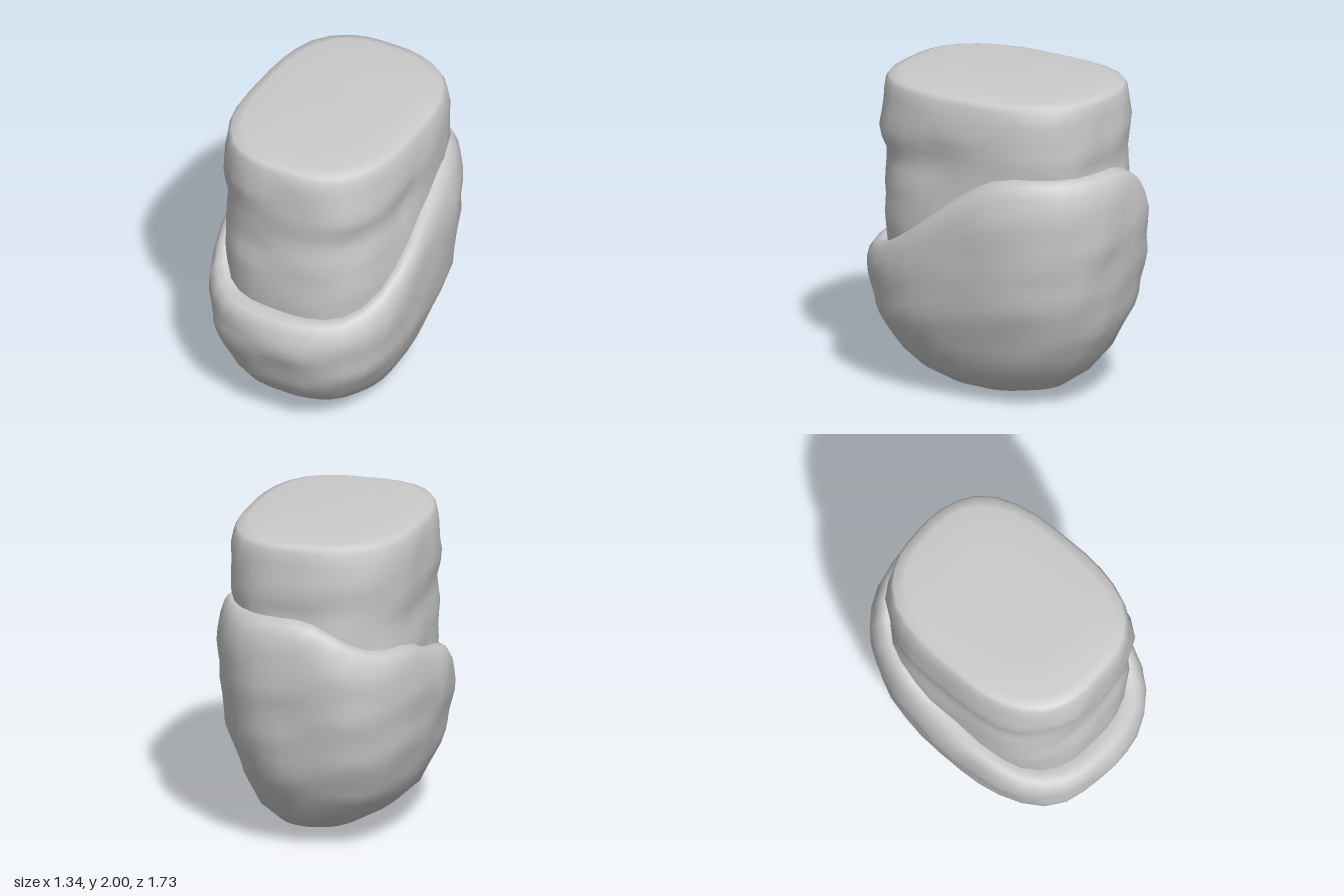
import * as THREE from 'three';

const SEGMENTS = 36;
const { smoothstep } = THREE.MathUtils;

// Deterministic lumps that give the carved, uneven surface
function lump(a, y, seed) {
  return 0.55 * Math.sin(5 * a + 9 * y + seed) * Math.cos(12 * y - 2 * a + seed)
    + 0.45 * Math.sin(9 * a - 7 * y + 2 * seed) * Math.cos(15 * y + 3 * a);
}

// Larger hollows (positive depth) and knobs (negative depth): x, y, z, radius, depth
const nutDents = [
  [-0.15, 1.32, 0.74, 0.2, 0.025], [0.58, 1.53, 0.15, 0.13, 0.03],
  [0.5, 1.6, 0.6, 0.13, -0.025], [0.45, 1.42, 0.62, 0.12, 0.02],
];
const cupDents = [
  [0.1, 0.42, 0.76, 0.13, 0.025], [0.67, 1.05, -0.12, 0.13, 0.02],
  [0.57, 0.42, -0.35, 0.13, 0.03], [-0.66, 0.9, 0.07, 0.13, -0.03],
  [0.1, 0.85, -0.85, 0.15, 0.015], [0.66, 1.15, -0.3, 0.13, -0.02],
];
const hollow = (dents, x, y, z) => dents.reduce((sum, [dx, dy, dz, radius, depth]) =>
  sum + depth * Math.exp(-((x - dx) ** 2 + (y - dy) ** 2 + (z - dz) ** 2) / radius ** 2), 0);

// Rounded-rectangle direction (superellipse of exponent n)
function outline(a, n) {
  const c = Math.cos(a), s = Math.sin(a);
  const k = Math.pow(Math.pow(Math.abs(c), n) + Math.pow(Math.abs(s), n), -1 / n);
  return [c * k, s * k];
}

// Smooth skin over rings that run upward; point(ring, angle) gives [x, y, z]
function loft(name, rings, point) {
  const pos = [], index = [];
  rings.forEach((ring, j) => {
    for (let i = 0; i < SEGMENTS; i++) {
      pos.push(...point(ring, (i / SEGMENTS) * Math.PI * 2));
      if (j === rings.length - 1) continue;
      const a = j * SEGMENTS + i, b = j * SEGMENTS + (i + 1) % SEGMENTS;
      index.push(a, a + SEGMENTS, b, b, a + SEGMENTS, b + SEGMENTS);
    }
  });
  const geo = new THREE.BufferGeometry();
  geo.setAttribute('position', new THREE.Float32BufferAttribute(pos, 3));
  geo.setIndex(index);
  geo.computeVertexNormals();
  const mesh = new THREE.Mesh(geo, new THREE.MeshStandardMaterial({
    color: 0xcccccc, roughness: 0.8, side: THREE.DoubleSide,
  }));
  mesh.name = name;
  return mesh;
}

// Height of the cup's rim: low in front, high at the back, sagging on the right flank
function rimHeight(x, z) {
  const sag = 0.22 * smoothstep(-x, 0, 0.55) * smoothstep(-z, -0.4, 0.2);
  return 0.9 + 0.62 * smoothstep(-z, -0.8, 0.45) - sag;
}

export function createModel() {
  const model = new THREE.Group();
  model.name = 'acorn';

  // Nut: y, half width, half depth, lump size
  const nut = [
    [0.7, 0.54, 0.69, 0], [0.9, 0.555, 0.72, 0.005], [1.02, 0.56, 0.73, 0.01],
    [1.1, 0.565, 0.735, 0.015], [1.18, 0.57, 0.735, 0.015], [1.26, 0.57, 0.735, 0.015],
    [1.34, 0.565, 0.735, 0.015], [1.42, 0.56, 0.73, 0.015], [1.5, 0.56, 0.725, 0.015],
    [1.58, 0.575, 0.735, 0.015], [1.66, 0.58, 0.745, 0.015], [1.74, 0.58, 0.745, 0.015],
    [1.85, 0.575, 0.74, 0.01], [1.93, 0.56, 0.73, 0.005], [1.965, 0.54, 0.71, 0.005],
    [1.985, 0.48, 0.65, 0], [1.993, 0.3, 0.42, 0], [2.0, 0, 0, 0],
  ];
  model.add(loft('nut', nut, ([y, w, d, amp], a) => {
    const [u, v] = outline(a, 2.8);
    const r = 1 + (amp * lump(a, y, 1.3) - hollow(nutDents, u * w, y, v * d)) / 0.65;
    return [u * w * r + 0.005, y, v * d * r];
  }));

  // Cup: share of rim height, half width, half depth, lump size
  const cup = [
    [0.005, 0, 0, 0], [0.03, 0.15, 0.19, 0], [0.07, 0.27, 0.4, 0.01],
    [0.15, 0.405, 0.555, 0.015], [0.25, 0.495, 0.665, 0.015], [0.31, 0.53, 0.705, 0.015],
    [0.37, 0.56, 0.745, 0.015], [0.44, 0.59, 0.775, 0.015], [0.5, 0.61, 0.795, 0.015],
    [0.56, 0.625, 0.815, 0.015], [0.62, 0.635, 0.83, 0.015], [0.68, 0.645, 0.845, 0.015],
    [0.74, 0.655, 0.855, 0.015], [0.8, 0.66, 0.86, 0.015], [0.86, 0.66, 0.86, 0.01],
    [0.93, 0.65, 0.845, 0.01], [0.98, 0.62, 0.815, 0.005], [1.0, 0.585, 0.765, 0.005],
    [0.98, 0.53, 0.7, 0],
  ];
  model.add(loft('cup', cup, ([t, w, d, amp], a) => {
    const [u, v] = outline(a, 2 + 0.6 * Math.min(1, t * 2));
    // the rim's tilt fades towards the bottom, so the back stays full
    const y = t * (0.9 + (rimHeight(u * 0.64, v * 0.82) - 0.9) * Math.min(1, 0.5 + 0.6 * t));
    const r = 1 + (amp * lump(a, y, 4.1) - hollow(cupDents, u * w, y, v * d)) / 0.7;
    const shift = 1 - Math.min(1, t * 4); // blunt tip sits slightly off centre
    return [u * w * r + 0.08 * shift, y, v * d * r - 0.04 * shift];
  }));

  return model;
}
